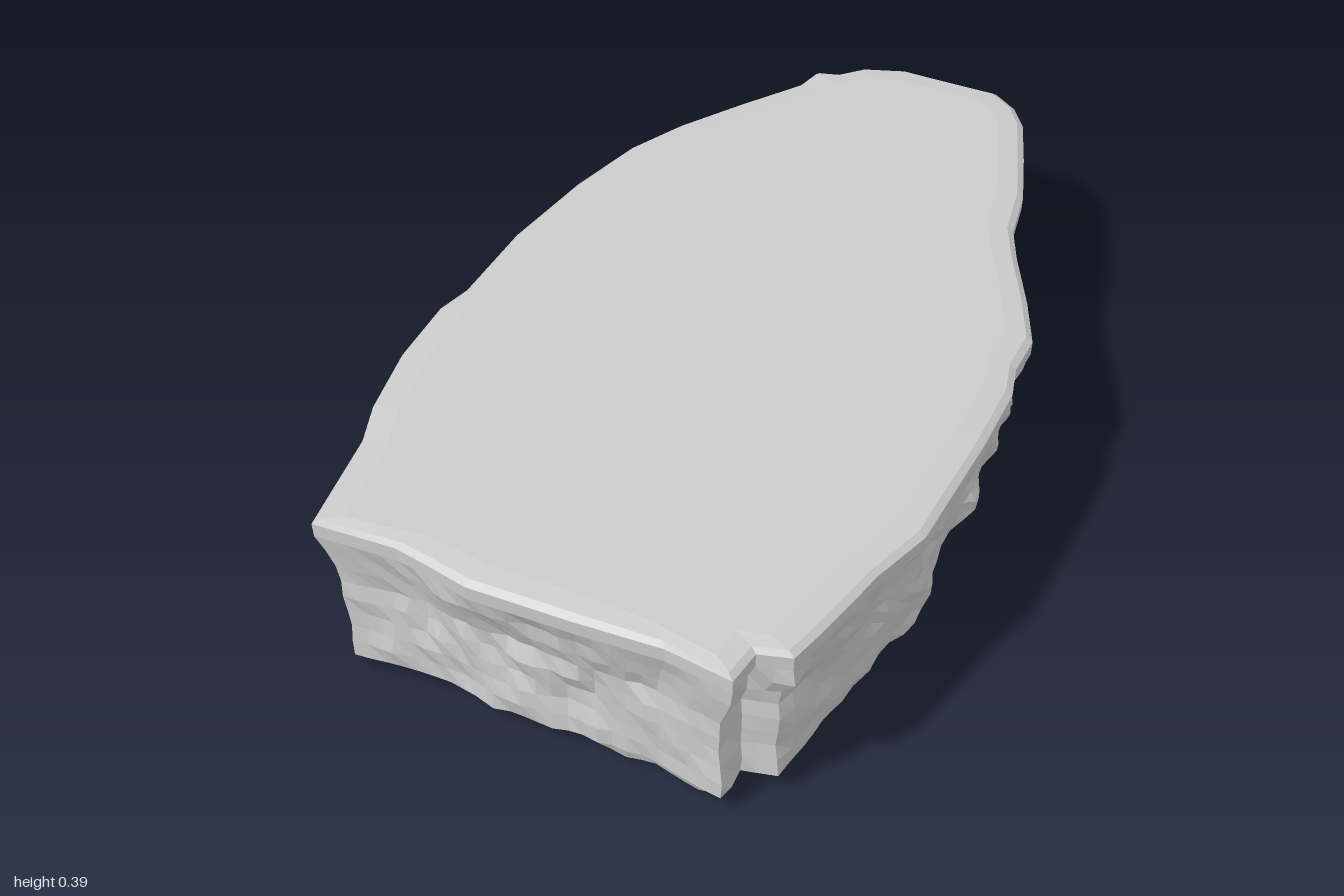
import * as THREE from 'three';

// Rim of the slab seen from above (x, z), counter-clockwise from the front right corner
const RIM = [
  [-0.445, 0.97], [-0.27, 0.96], [-0.19, 0.975], [-0.1, 0.995], [0.12, 0.99], [0.3, 0.98], [0.445, 1],
  [0.45, 0.92], [0.515, 0.9], [0.53, 0.82], [0.545, 0.72], [0.555, 0.64], [0.59, 0.5], [0.582, 0.2],
  [0.57, 0.03], [0.545, -0.05], [0.54, -0.15], [0.48, -0.27], [0.4, -0.41], [0.355, -0.5], [0.325, -0.63],
  [0.27, -0.77], [0.215, -0.9], [0.17, -0.96], [0.11, -1], [-0.12, -1], [-0.21, -0.965],
  [-0.255, -0.915], [-0.3, -0.9], [-0.31, -0.84], [-0.4, -0.69], [-0.48, -0.55], [-0.53, -0.43],
  [-0.565, -0.25], [-0.585, -0.02], [-0.575, 0.2], [-0.59, 0.28], [-0.575, 0.45],
  [-0.535, 0.62], [-0.495, 0.72], [-0.465, 0.87],
];
// Height of the lower edge of the wall, and of the underside, along z
const EDGE = [[-1, 0.335], [-0.85, 0.285], [-0.7, 0.24], [-0.5, 0.215], [0, 0.2], [0.25, 0.155], [0.6, 0.1], [0.85, 0.065], [0.95, 0.04]];
const FLOOR = [[-1, 0.33], [-0.93, 0.295], [-0.83, 0.245], [-0.66, 0.2], [-0.58, 0.135], [-0.45, 0.112], [-0.35, 0.082], [-0.22, 0.033], [0, 0.022], [1, 0.022]];

function lookup(table, z) {
  if (z <= table[0][0]) return table[0][1];
  for (let i = 1; i < table.length; i++) {
    const [z0, y0] = table[i - 1], [z1, y1] = table[i];
    if (z <= z1) return y0 + (y1 - y0) * (z - z0) / (z1 - z0);
  }
  return table[table.length - 1][1];
}

// Seeded lattice noise in -1..1
function hash(x, y, z) {
  const s = Math.sin(x * 127.1 + y * 311.7 + z * 74.7) * 43758.5453;
  return (s - Math.floor(s)) * 2 - 1;
}
function noise(x, y, z) {
  const ix = Math.floor(x), iy = Math.floor(y), iz = Math.floor(z);
  const w = (d, f) => { const s = f * f * (3 - 2 * f); return d ? s : 1 - s; };
  let sum = 0;
  for (let c = 0; c < 8; c++) {
    const dx = c & 1, dy = (c >> 1) & 1, dz = c >> 2;
    sum += hash(ix + dx, iy + dy, iz + dz) * w(dx, x - ix) * w(dy, y - iy) * w(dz, z - iz);
  }
  return sum;
}

// Split every rim side into short steps, keeping its corners
function sampleRim(step) {
  const pts = [];
  RIM.forEach(([x, z], i) => {
    const [x1, z1] = RIM[(i + 1) % RIM.length];
    const n = Math.max(1, Math.round(Math.hypot(x1 - x, z1 - z) / step));
    for (let k = 0; k < n; k++) pts.push([x + (x1 - x) * k / n, z + (z1 - z) * k / n]);
  });
  return pts;
}

// Joins closed rings, listed from the top spine down to the bottom spine
function loft(rings) {
  const n = rings[0].length, index = [];
  for (let r = 0; r < rings.length - 1; r++) {
    for (let i = 0; i < n; i++) {
      const j = (i + 1) % n, a = r * n, b = a + n;
      index.push(a + i, b + i, b + j, a + i, b + j, a + j);
    }
  }
  const geo = new THREE.BufferGeometry();
  geo.setAttribute('position', new THREE.Float32BufferAttribute(rings.flat(2), 3));
  geo.setIndex(index);
  geo.computeVertexNormals();
  return geo;
}

export function createModel() {
  const { smoothstep, clamp, lerp } = THREE.MathUtils;
  const rim = sampleRim(0.036);
  const rings = [];

  // Each rim point moves inwards towards a spine running front to back
  const spineZ = (z) => clamp(z, -0.7, 0.7);
  const reach = (x, z) => Math.hypot(x, z - spineZ(z));
  const inset = (x, z, d) => {
    const t = 1 - d / reach(x, z);
    return [x * t, spineZ(z) + (z - spineZ(z)) * t];
  };
  const edgeY = (x, z) => lookup(EDGE, z) + noise(x * 9, 1.7, z * 9) * 0.025 * (1 - smoothstep(Math.abs(z), 0.7, 0.95));

  // Flat top with a softly worn rim
  rings.push(rim.map(([, z]) => [0, 0.387, spineZ(z)]));
  for (const [d, y] of [[0.06, 0.387], [0.014, 0.382], [0, 0.372], [0.002, 0.342]]) {
    rings.push(rim.map(([x, z]) => {
      const [px, pz] = inset(x, z, d);
      return [px, y, pz];
    }));
  }

  // Rough broken wall, undercut below the rim
  const wallRows = 8;
  for (let k = 1; k <= wallRows; k++) {
    const f = k / wallRows;
    rings.push(rim.map(([x, z]) => {
      const y = 0.342 + (edgeY(x, z) - 0.342) * f;
      const rough = noise(x * 12, y * 16, z * 12) * 0.012 + noise(x * 26 + 5, y * 26, z * 26) * 0.009;
      const undercut = lerp(0.022, 0.036, smoothstep(z, 0.88, 0.95)) * Math.min(1, f * 2.7);
      const [px, pz] = inset(x, z, 0.003 + undercut + 0.012 * f + rough);
      return [px, y, pz];
    }));
  }

  // Lumpy underside: a ledge, a slope down to the floor, and a rise to the back
  const underRows = 18;
  for (let k = 1; k <= underRows; k++) {
    rings.push(rim.map(([x, z]) => {
      const full = reach(x, z);
      const d = 0.05 + (full - 0.05) * k / underRows;
      const [px, pz] = inset(x, z, d);
      const width = lerp(0.27, 0.1, smoothstep(z, 0.6, 0.95));
      const slope = 1 - smoothstep(d, 0.02, width);
      const floor = lookup(FLOOR, pz);
      const lump = noise(px * 11, 3.3, pz * 11) * 0.022 + noise(px * 23, 8.1, pz * 23) * 0.015;
      const y = floor + (edgeY(x, z) - floor) * slope + lump * (0.75 + 0.25 * slope);
      return [px, Math.max(0, y), pz];
    }));
  }

  const rock = new THREE.Mesh(
    loft(rings),
    new THREE.MeshStandardMaterial({ color: 0xcccccc, flatShading: true }),
  );
  rock.name = 'rockSlab';
  const group = new THREE.Group();
  group.name = 'rockLedge';
  group.add(rock);
  return group;
}
